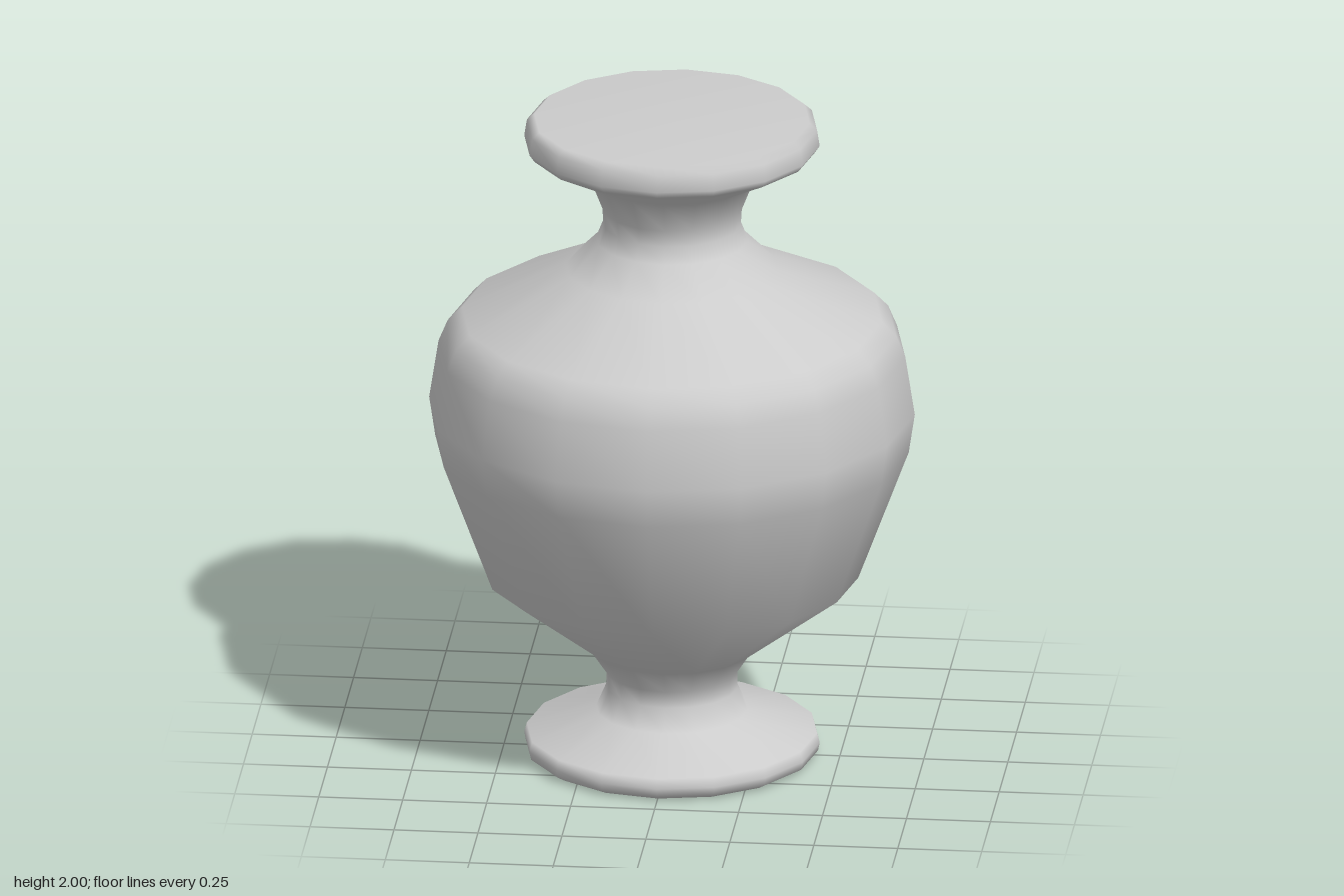
import * as THREE from 'three';
import { mergeVertices } from 'three/addons/utils/BufferGeometryUtils.js';

const SIDES = 16;

// Outline [radius, height], from the base centre up to the top centre
const foot = [[0, 0], [0.41, 0], [0.435, 0.015], [0.44, 0.04], [0.432, 0.07], [0.225, 0.135]];
const stem = [[0.195, 0.205], [0.195, 0.255], [0.245, 0.33]];
const belly = [[0.555, 0.567], [0.705, 0.97], [0.723, 1.09], [0.695, 1.27], [0.668, 1.335], [0.625, 1.38]];
const neck = [[0.315, 1.53], [0.225, 1.62], [0.205, 1.67], [0.208, 1.72], [0.245, 1.815]];
const rim = [[0.425, 1.908], [0.44, 1.93], [0.432, 1.98], [0.41, 2], [0, 2]];

export function createModel() {
  const group = new THREE.Group();
  group.name = 'vase';

  const points = [...foot, ...stem, ...belly, ...neck, ...rim].map(([r, y]) => new THREE.Vector2(r, y));
  let geometry = new THREE.LatheGeometry(points, SIDES);

  // Weld the seam and use area-weighted smooth normals
  geometry.deleteAttribute('uv');
  geometry.deleteAttribute('normal');
  geometry = mergeVertices(geometry, 1e-4);
  geometry.computeVertexNormals();

  const body = new THREE.Mesh(geometry, new THREE.MeshStandardMaterial({ color: 0xcccccc }));
  body.name = 'vaseBody';
  group.add(body);
  return group;
}
